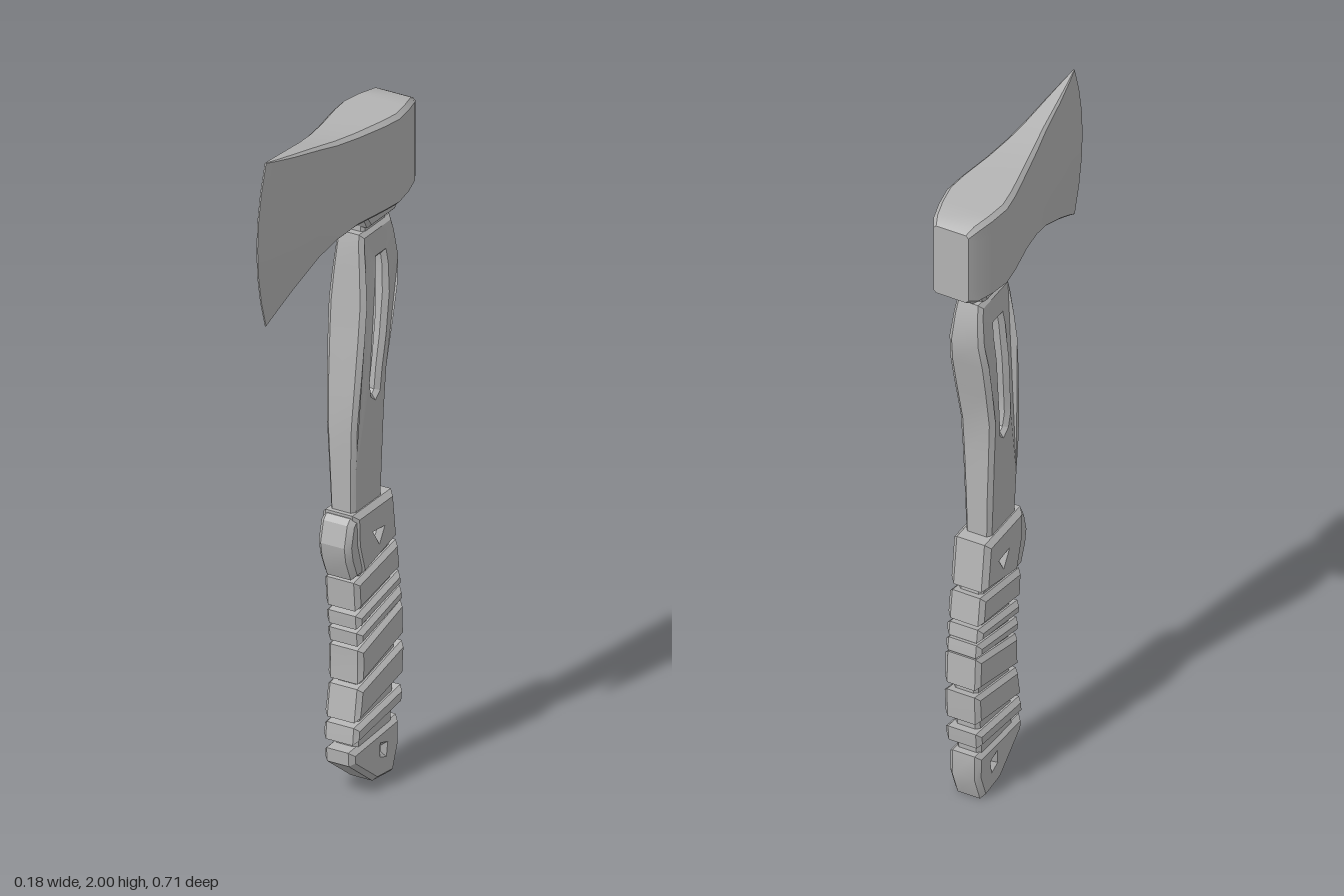
import * as THREE from 'three';
import { toCreasedNormals } from 'three/addons/utils/BufferGeometryUtils.js';

const steel = new THREE.MeshStandardMaterial({ color: 0xb4b4b4 });
steel.name = 'plain grey';

// Piecewise linear lookup in a list of [position, value] pairs
function lookup(table, p) {
  for (let i = 1; i < table.length; i++) {
    const [a, va] = table[i - 1], [b, vb] = table[i];
    if (p <= b) return THREE.MathUtils.lerp(va, vb, THREE.MathUtils.clamp((p - a) / (b - a), 0, 1));
  }
  return table[table.length - 1][1];
}

const toVectors = (points) => points.map(([z, y]) => new THREE.Vector2(z, y));

// Chamfered plate from a side outline of [z, y] points, centred on x = 0
function plate(name, outline, half, bevel, holes = [], widths = null) {
  const shape = new THREE.Shape(toVectors(outline));
  for (const hole of holes) shape.holes.push(new THREE.Path(toVectors(hole)));
  const depth = 2 * (half - bevel);
  const geometry = new THREE.ExtrudeGeometry(shape, {
    depth, bevelEnabled: true, bevelThickness: bevel, bevelSize: bevel,
    bevelOffset: -bevel, bevelSegments: 1,
  });
  geometry.translate(0, 0, -depth / 2);
  geometry.rotateY(-Math.PI / 2);
  if (widths) {
    const pos = geometry.attributes.position;
    for (let i = 0; i < pos.count; i++) pos.setX(i, pos.getX(i) * lookup(widths, pos.getY(i)) / half);
  }
  const mesh = new THREE.Mesh(toCreasedNormals(geometry, 0.4), steel);
  mesh.name = name;
  return mesh;
}

// Axe head lofted from the poll to the curved cutting edge
function makeHead() {
  // z, half width, bottom, top, forward bulge, chamfer
  const sections = [
    [-0.352, 0.052, 1.70, 1.92, 0, 0.008],
    [-0.325, 0.066, 1.683, 1.935, 0, 0.012],
    [-0.27, 0.08, 1.678, 1.938, 0, 0.012],
    [-0.21, 0.089, 1.676, 1.94, 0, 0.012],
    [-0.15, 0.082, 1.676, 1.942, 0, 0.012],
    [-0.05, 0.062, 1.674, 1.945, 0, 0.011],
    [0.03, 0.047, 1.66, 1.952, 0.004, 0.01],
    [0.10, 0.034, 1.637, 1.963, 0.01, 0.008],
    [0.20, 0.021, 1.59, 1.98, 0.02, 0.006],
    [0.27, 0.010, 1.552, 1.992, 0.033, 0.003],
    [0.315, 0.002, 1.525, 2.0, 0.043, 0.001],
  ];
  const rings = sections.map(([z, w, bottom, top, bulge, c]) => {
    const side = [[w - c, 0]];
    for (let i = 0; i <= 6; i++) side.push([w, c + (top - bottom - 2 * c) * i / 6]);
    side.push([w - c, top - bottom]);
    const loop = [...side, ...side.map(([x, h]) => [-x, h]).reverse()];
    return loop.map(([x, h]) => {
      const v = 2 * h / (top - bottom) - 1;
      return [x, bottom + h, z + bulge * (1 - v * v)];
    });
  });
  const n = rings[0].length, position = rings.flat(2), index = [];
  for (let s = 0; s < rings.length - 1; s++) {
    for (let i = 0; i < n; i++) {
      const a = s * n + i, b = s * n + (i + 1) % n;
      index.push(a, b, b + n, a, b + n, a + n);
    }
  }
  // Poll face and thin cutting edge
  const last = (rings.length - 1) * n;
  for (let i = 0; i < n / 2 - 1; i++) {
    const a = i, b = i + 1, c = n - 2 - i, d = n - 1 - i;
    index.push(a, c, b, a, d, c);
    index.push(last + a, last + b, last + c, last + a, last + c, last + d);
  }
  const geometry = new THREE.BufferGeometry();
  geometry.setAttribute('position', new THREE.Float32BufferAttribute(position, 3));
  geometry.setIndex(index);
  const mesh = new THREE.Mesh(toCreasedNormals(geometry, 0.5), steel);
  mesh.name = 'axeHead';
  return mesh;
}

export function createModel() {
  const group = new THREE.Group();
  group.name = 'axe';
  group.add(makeHead());

  // Collar and neck under the head
  group.add(plate('collar', [[-0.28, 1.685], [-0.255, 1.635], [-0.125, 1.635], [-0.095, 1.685]], 0.052, 0.01));
  group.add(plate('neck', [[-0.24, 1.66], [-0.24, 1.6], [-0.125, 1.6], [-0.125, 1.66]], 0.03, 0.008));

  // Curved shaft with a long through slot
  const shaft = [
    [-0.105, 1.62], [-0.098, 1.58], [-0.092, 1.5], [-0.086, 1.42], [-0.078, 1.33], [-0.066, 1.2],
    [-0.057, 1.08], [-0.06, 0.95], [-0.066, 0.8],
    [-0.21, 0.8], [-0.212, 0.95], [-0.213, 1.08], [-0.216, 1.2], [-0.243, 1.33],
    [-0.262, 1.42], [-0.277, 1.5], [-0.268, 1.58], [-0.257, 1.62],
  ];
  const slot = [
    [-0.168, 1.53], [-0.2, 1.53], [-0.203, 1.5], [-0.198, 1.42], [-0.185, 1.3], [-0.171, 1.21],
    [-0.166, 1.15], [-0.155, 1.14], [-0.142, 1.15], [-0.134, 1.19], [-0.143, 1.27], [-0.154, 1.38], [-0.164, 1.5],
  ];
  const shaftWidths = [[0.8, 0.037], [1.0, 0.042], [1.15, 0.05], [1.3, 0.056], [1.42, 0.058], [1.52, 0.05], [1.62, 0.038]];
  group.add(plate('shaft', shaft, 0.05, 0.012, [slot], shaftWidths));

  // Guard block at the top of the grip, with its finger stop
  group.add(plate('guardBlock',
    [[-0.052, 0.828], [-0.245, 0.828], [-0.263, 0.685], [-0.085, 0.64], [-0.056, 0.735]],
    0.055, 0.014, [[[-0.15, 0.742], [-0.175, 0.738], [-0.165, 0.722]]]));
  group.add(plate('fingerStop',
    [[-0.05, 0.82], [-0.035, 0.805], [-0.02, 0.745], [-0.028, 0.7], [-0.053, 0.64], [-0.1, 0.64], [-0.1, 0.82]],
    0.05, 0.014));

  // Slanted grip bands around a slim core
  const front = [[0.12, -0.05], [0.2, -0.058], [0.34, -0.08], [0.44, -0.077], [0.5, -0.07], [0.64, -0.058]];
  const back = [[0.14, -0.283], [0.23, -0.293], [0.36, -0.3], [0.5, -0.293], [0.68, -0.268]];
  const bands = [[0.63, 0.545, 0.04], [0.53, 0.49, 0.045], [0.478, 0.438, 0.05],
    [0.426, 0.328, 0.058], [0.314, 0.222, 0.05], [0.208, 0.16, 0.03]];
  for (const [top, bottom, rise] of bands) {
    const outline = [top, (top + bottom) / 2, bottom].map((y) => [lookup(front, y), y]);
    outline.push(...[bottom, (top + bottom) / 2, top].map((y) => [lookup(back, y + rise), y + rise]));
    group.add(plate('gripBand', outline, 0.053, 0.012));
  }
  group.add(plate('gripCore',
    [[-0.085, 0.68], [-0.1, 0.4], [-0.08, 0.13], [-0.26, 0.13], [-0.278, 0.36], [-0.25, 0.68]], 0.036, 0.01));

  // Pommel with a small lanyard hole
  group.add(plate('pommel',
    [[-0.045, 0.14], [-0.048, 0.1], [-0.165, 0.01], [-0.255, 0], [-0.285, 0.08], [-0.283, 0.155], [-0.16, 0.147]],
    0.046, 0.013, [[[-0.195, 0.1], [-0.208, 0.095], [-0.206, 0.078], [-0.195, 0.083]]]));
  return group;
}
